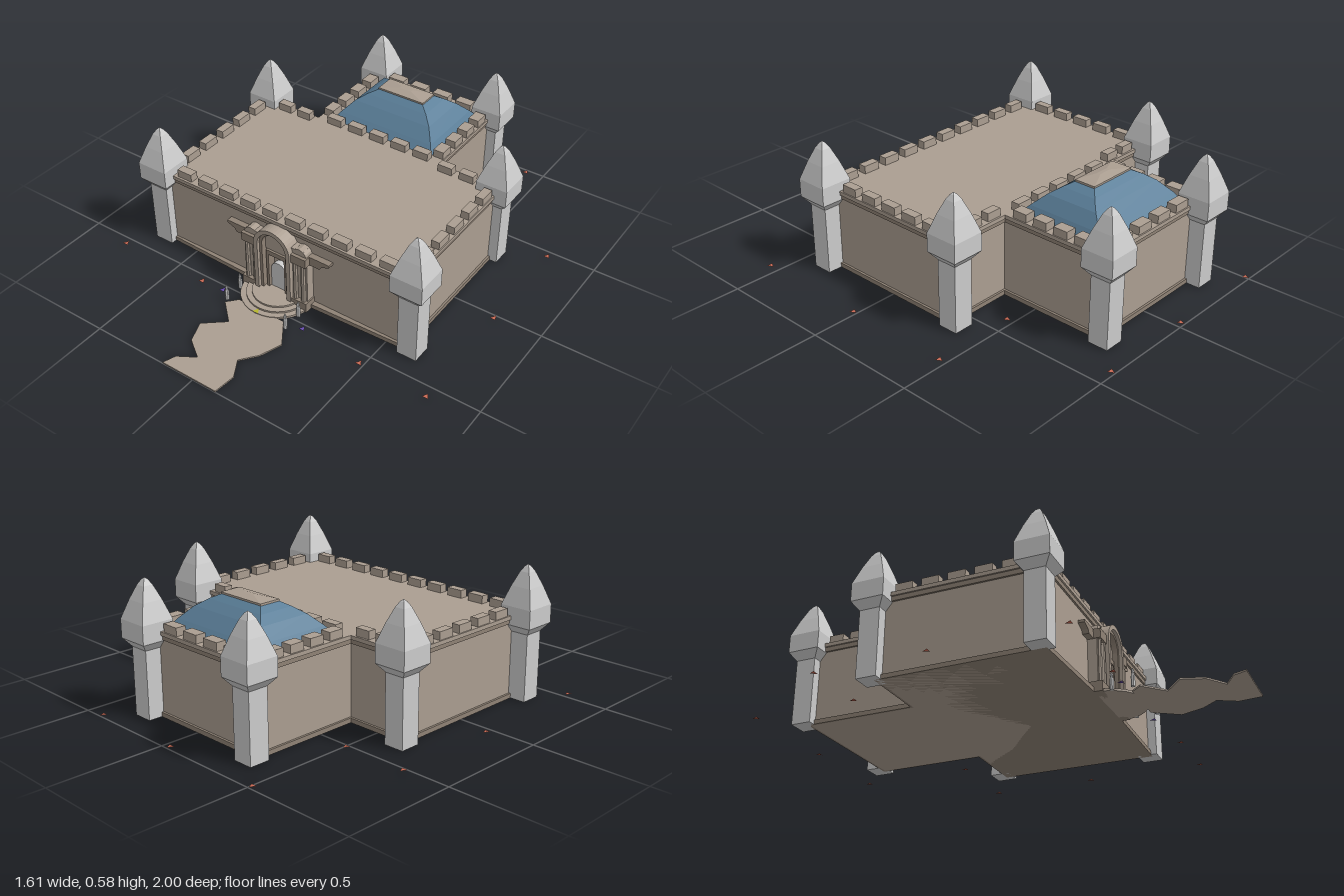
import * as THREE from 'three';

const mat = (color) => new THREE.MeshStandardMaterial({ color, flatShading: true, side: THREE.DoubleSide });
const stone = mat(0xab9e91), trim = mat(0x8f8275), grey = mat(0xcccccc), blue = mat(0x5b7f99);
const red = mat(0xc96a55), purple = mat(0x6a4fb0), yellow = mat(0xb5b52a);
const CX = -0.033; // axis of the gate and the dome

export function createModel() {
  const root = new THREE.Group();

  const add = (name, geo, m, x = 0, y = 0, z = 0, parent = root) => {
    const mesh = new THREE.Mesh(geo, m);
    mesh.name = name;
    mesh.position.set(x, y, z);
    parent.add(mesh);
    return mesh;
  };
  // Box given by its limits
  const box = (name, m, x0, x1, y0, y1, z0, z1, parent = root) =>
    add(name, new THREE.BoxGeometry(x1 - x0, y1 - y0, z1 - z0), m, (x0 + x1) / 2, (y0 + y1) / 2, (z0 + z1) / 2, parent);
  const outline = (pts) => new THREE.Shape(pts.map(([x, y]) => new THREE.Vector2(x, y)));
  // Plan outline (x, z) raised from y0 to y1
  const slab = (name, m, pts, y0, y1) => {
    const geo = new THREE.ExtrudeGeometry(outline(pts.map(([x, z]) => [x, -z])), { depth: y1 - y0, bevelEnabled: false });
    add(name, geo.rotateX(-Math.PI / 2), m, 0, y0, 0);
  };

  // Castle plan, grown outwards by d
  const plan = (d, bow = 0) => [
    [-0.637 - d, 0.377 + d], [-0.2, 0.377 + d + bow], [0.14, 0.377 + d + bow], [0.582 + d, 0.377 + d],
    [0.582 + d, -0.325 - d], [0.275 + d, -0.325 - d], [0.275 + d, -0.817 - d],
    [-0.345 - d, -0.817 - d], [-0.345 - d, -0.325 - d], [-0.637 - d, -0.325 - d],
  ];
  slab('walls', stone, plan(0), 0, 0.335);
  slab('plinth', trim, plan(0.01, 0.015), 0, 0.02);
  slab('lowerCornice', trim, plan(0.008), 0.333, 0.353);
  slab('upperCornice', stone, plan(0.015), 0.353, 0.37);

  // Battlements: evenly spaced merlons along a line
  const merlons = (ax, az, bx, bz, n, t = 0.038) => {
    const alongX = az === bz;
    const pitch = (alongX ? bx - ax : bz - az) / n;
    for (let i = 0; i < n; i++) {
      const s = (i + 0.5) * pitch, w = Math.abs(pitch) * 0.66;
      const geo = new THREE.BoxGeometry(alongX ? w : t, 0.036, alongX ? t : w);
      add('merlon', geo, stone, ax + (alongX ? s : 0), 0.387, az + (alongX ? 0 : s));
    }
  };
  merlons(-0.6, 0.363, 0.55, 0.363, 10);
  merlons(-0.627, -0.28, -0.627, 0.3, 5);
  merlons(0.573, -0.28, 0.573, 0.3, 5);
  merlons(-0.57, -0.312, -0.36, -0.312, 2);
  merlons(0.29, -0.312, 0.5, -0.312, 2);
  merlons(-0.32, -0.345, 0.255, -0.345, 5);
  merlons(-0.327, -0.77, -0.327, -0.36, 4, 0.05);
  merlons(0.26, -0.77, 0.26, -0.36, 4, 0.05);
  merlons(-0.28, -0.803, 0.21, -0.803, 4, 0.046);

  // Square towers with a flared head and a curved pointed roof
  const profile = [[0, 0], [0.045, 0], [0.045, 0.295], [0.073, 0.33], [0.073, 0.41], [0.046, 0.49], [0.022, 0.55], [0.009, 0.572], [0, 0.58]];
  const towerGeo = new THREE.LatheGeometry(profile.map(([r, y]) => new THREE.Vector2(r * Math.SQRT2, y)), 4).rotateY(Math.PI / 4);
  for (const [x, z] of [[-0.673, 0.37], [0.612, 0.37], [-0.64, -0.35], [0.58, -0.346], [-0.342, -0.843], [0.276, -0.843]])
    add('tower', towerGeo, grey, x, 0, z);

  // Rectangular dome from stacked rings [y, half width, half depth]
  const rectLoft = (rings) => {
    const pos = [], index = [];
    rings.forEach(([y, hx, hz]) => pos.push(-hx, y, hz, hx, y, hz, hx, y, -hz, -hx, y, -hz));
    for (let r = 0; r < rings.length - 1; r++)
      for (let k = 0; k < 4; k++) {
        const a = r * 4 + k, b = r * 4 + (k + 1) % 4;
        index.push(a, b, b + 4, a, b + 4, a + 4);
      }
    const geo = new THREE.BufferGeometry();
    geo.setAttribute('position', new THREE.Float32BufferAttribute(pos, 3));
    geo.setIndex(index);
    const flat = geo.toNonIndexed();
    flat.computeVertexNormals();
    return flat;
  };
  const dome = [[0.37, 0.262, 0.205], [0.405, 0.24, 0.172], [0.455, 0.197, 0.12], [0.485, 0.155, 0.08], [0.507, 0.113, 0.045]];
  add('dome', rectLoft(dome), blue, CX, 0, -0.57);
  add('domeCap', rectLoft([[0.5, 0.118, 0.048], [0.513, 0.118, 0.048], [0.523, 0.03, 0.008], [0.523, 0, 0]]), stone, CX, 0, -0.57);

  // Gate, built around its own axis
  const gate = new THREE.Group();
  gate.name = 'gate';
  gate.position.x = CX;
  root.add(gate);
  const archPath = (P, r, spring, y0) => {
    const p = new P();
    p.moveTo(-r, y0);
    p.lineTo(r, y0);
    p.lineTo(r, spring);
    p.absarc(0, spring, r, 0, Math.PI, false);
    p.lineTo(-r, y0);
    return p;
  };
  const arch = (name, m, outer, inner, spring, z0, z1) => {
    const s = archPath(THREE.Shape, outer, spring, 0.02);
    if (inner) s.holes.push(archPath(THREE.Path, inner, spring, 0.021));
    add(name, new THREE.ExtrudeGeometry(s, { depth: z1 - z0, bevelEnabled: false, curveSegments: 10 }), m, 0, 0, z0, gate);
  };
  arch('outerArch', stone, 0.093, 0.073, 0.262, 0.37, 0.445);
  arch('innerArch', trim, 0.075, 0.06, 0.262, 0.37, 0.43);
  box('archInfill', stone, -0.062, 0.062, 0.22, 0.3, 0.37, 0.405, gate);
  arch('doorway', grey, 0.038, 0, 0.12, 0.37, 0.402);
  box('doorLintel', trim, -0.052, 0.052, 0.2, 0.222, 0.37, 0.415, gate);
  for (const s of [-1, 1]) {
    const side = (name, m, a, b, y0, y1, z1) => box(name, m, Math.min(s * a, s * b), Math.max(s * a, s * b), y0, y1, 0.37, z1, gate);
    side('doorJamb', trim, 0.04, 0.052, 0.02, 0.2, 0.415);
    side('pier', stone, 0.09, 0.162, 0, 0.25, 0.418);
    side('pierBase', trim, 0.088, 0.168, 0, 0.045, 0.438);
    side('attic', stone, 0.085, 0.145, 0.27, 0.3, 0.42);
    for (const x of [0.105, 0.145])
      add('column', new THREE.CylinderGeometry(0.01, 0.012, 0.2, 8), stone, s * x, 0.14, 0.422, gate);
    // Entablature wing, narrower below
    const wing = outline([[0.09, 0.235], [0.215, 0.235], [0.225, 0.25], [0.262, 0.265], [0.262, 0.277], [0.09, 0.277]].map(([x, y]) => [s * x, y]));
    add('entablature', new THREE.ExtrudeGeometry(wing, { depth: 0.035, bevelEnabled: false }), trim, 0, 0, 0.37, gate);
    side('entablatureBlock', trim, 0.09, 0.165, 0.235, 0.277, 0.435);
    // Quarter-round shoulder beside the arch
    const shoulder = new THREE.CylinderGeometry(0.035, 0.035, 0.05, 12).rotateX(Math.PI / 2);
    add('shoulder', shoulder, stone, s * 0.125, 0.272, 0.395, gate);
  }

  // Half-round steps
  [[0.165, 0.01], [0.14, 0.018], [0.115, 0.026]].forEach(([r, h]) =>
    add('step', new THREE.CylinderGeometry(r, r, h, 16, 1, false, -Math.PI / 2, Math.PI), stone, 0, h / 2, 0.402, gate));

  // Ragged path
  slab('path', stone, [[-0.14, 0.54], [-0.18, 0.585], [-0.09, 0.67], [-0.18, 0.745], [-0.145, 0.84], [-0.06, 0.9],
    [-0.135, 0.945], [-0.155, 1], [0.115, 1], [0.125, 0.9], [0.08, 0.82], [0.135, 0.75], [0.17, 0.65], [0.095, 0.54]], 0, 0.007);

  // Posts beside the steps
  const post = [[0, 0], [0.009, 0], [0.009, 0.045], [0.006, 0.055], [0.007, 0.065], [0, 0.082]].map(([r, y]) => new THREE.Vector2(r, y));
  for (const x of [-0.188, 0.12])
    for (const z of [0.472, 0.56]) add('post', new THREE.LatheGeometry(post, 6), grey, x, 0, z);

  // Flat triangular ground markers
  const markerGeo = new THREE.ShapeGeometry(outline([[-0.014, -0.012], [0.014, -0.012], [0, 0.014]])).rotateX(-Math.PI / 2);
  const marker = (m, x, z, y = 0.002) => add('marker', markerGeo, m, x, y, z);
  for (const [x, z] of [[-0.505, -0.985], [-0.03, -0.985], [0.415, -0.985], [-0.795, -0.515], [-0.505, -0.515], [0.415, -0.47],
    [0.79, -0.47], [-0.795, 0.03 - 0.06], [0.79, 0.015], [-0.795, 0.53], [-0.35, 0.53], [0.48, 0.55], [0.79, 0.55]]) marker(red, x, z);
  marker(purple, -0.24, 0.525);
  marker(purple, 0.18, 0.522);
  marker(yellow, CX, 0.555, 0.012);

  return root;
}
